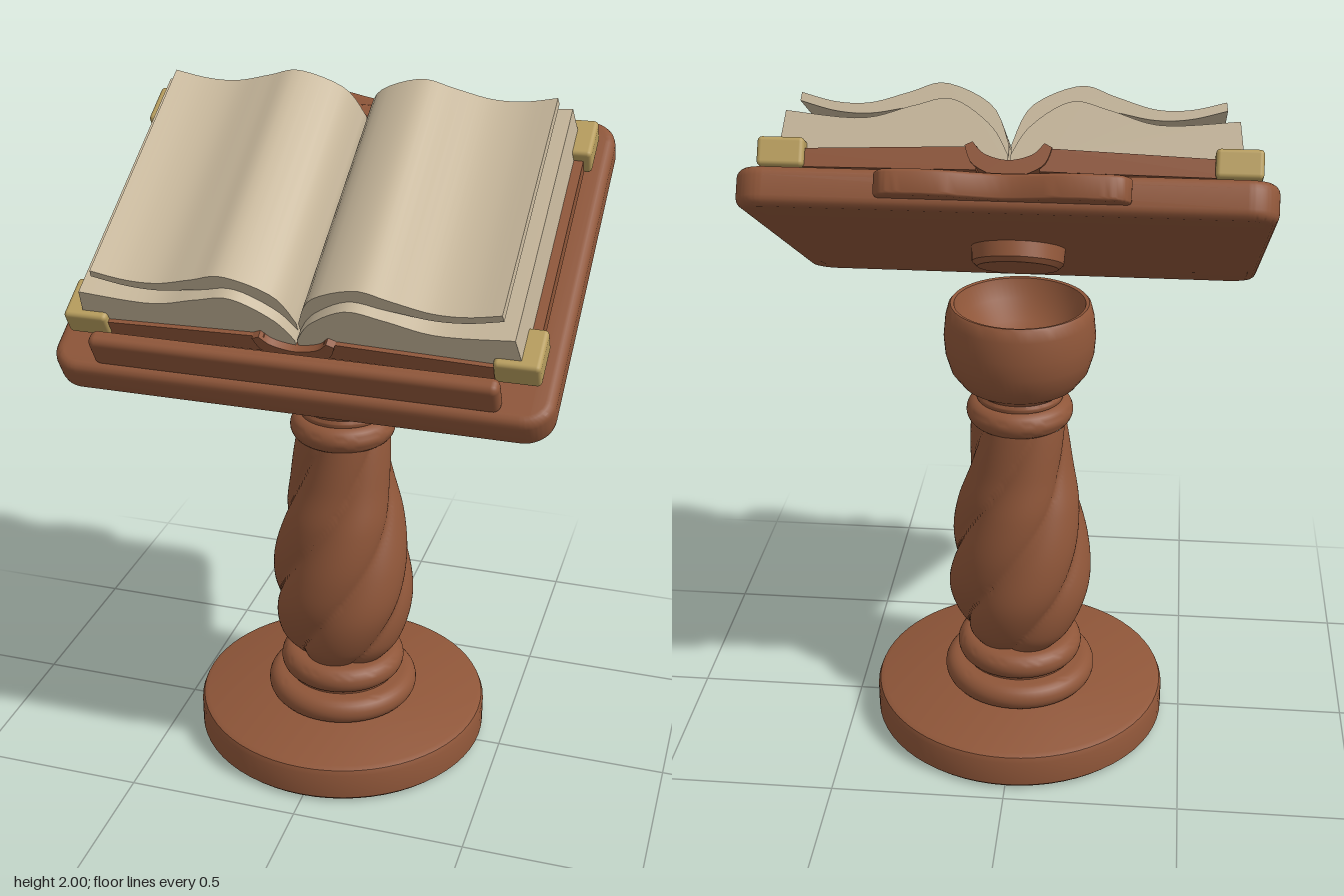
import * as THREE from 'three';
import { mergeVertices, toCreasedNormals } from 'three/addons/utils/BufferGeometryUtils.js';
import { RoundedBoxGeometry } from 'three/addons/geometries/RoundedBoxGeometry.js';

const wood = new THREE.MeshStandardMaterial({ name: 'wood', color: 0x8f5639 });
const paper = new THREE.MeshStandardMaterial({ name: 'paper', color: 0xc9b99d });
const brass = new THREE.MeshStandardMaterial({ name: 'brass', color: 0xb89e5e });

const V = (x, y) => new THREE.Vector2(x, y);

function add(parent, name, geometry, material, x = 0, y = 0, z = 0) {
  const mesh = new THREE.Mesh(geometry, material);
  mesh.name = name;
  mesh.position.set(x, y, z);
  parent.add(mesh);
  return mesh;
}

const lathe = (points, crease = 0.7) =>
  toCreasedNormals(new THREE.LatheGeometry(points.map(p => V(...p)), 64), crease);

// Turned ring with a half-round edge
function ring(radius, y0, y1) {
  const h = (y1 - y0) / 2, pts = [[0, y0]];
  for (let i = 0; i <= 12; i++) {
    const a = -Math.PI / 2 + Math.PI * i / 12;
    pts.push([radius - h + h * Math.cos(a), (y0 + y1) / 2 + h * Math.sin(a)]);
  }
  pts.push([0, y1]);
  return lathe(pts);
}

// Rope-twisted baluster: a lathe whose radius swells in spiral lobes
function twistedColumn() {
  const profile = new THREE.SplineCurve([
    [0.14, 0.265], [0.185, 0.33], [0.213, 0.45], [0.207, 0.58],
    [0.182, 0.73], [0.155, 0.85], [0.14, 0.99],
  ].map(p => V(...p))).getPoints(70);
  let g = new THREE.LatheGeometry(profile, 120);
  const p = g.attributes.position;
  for (let i = 0; i < p.count; i++) {
    const x = p.getX(i), y = p.getY(i), z = p.getZ(i);
    const lobe = Math.abs(Math.cos(2.5 * (Math.atan2(x, z) - 4.2 * y)));
    const k = 0.85 + 0.15 * Math.pow(lobe, 0.7);
    p.setXYZ(i, x * k, y, z * k);
  }
  g.deleteAttribute('uv');
  g.deleteAttribute('normal');
  g = mergeVertices(g, 1e-4);
  g.computeVertexNormals();
  return g;
}

// Cross-section in x and y, extruded between two z values
function section(points, z0, z1) {
  const g = new THREE.ExtrudeGeometry(new THREE.Shape(points), { depth: z1 - z0, bevelEnabled: false });
  return toCreasedNormals(g.translate(0, 0, z0), 0.6);
}

// Flat outline in x and -z, with rounded rims, lying between two heights
function slab(shape, y0, y1, bevel) {
  const g = new THREE.ExtrudeGeometry(shape, {
    depth: y1 - y0 - 2 * bevel, bevelThickness: bevel, bevelSize: bevel,
    bevelOffset: -bevel, bevelSegments: 4, curveSegments: 10,
  });
  return toCreasedNormals(g.rotateX(-Math.PI / 2).translate(0, y0 + bevel, 0), 0.7);
}

function roundedRect(x0, y0, x1, y1, r) {
  const s = new THREE.Shape();
  s.absarc(x1 - r, y0 + r, r, -Math.PI / 2, 0);
  s.absarc(x1 - r, y1 - r, r, 0, Math.PI / 2);
  s.absarc(x0 + r, y1 - r, r, Math.PI / 2, Math.PI);
  s.absarc(x0 + r, y0 + r, r, Math.PI, Math.PI * 1.5);
  return s;
}

const smooth = (pts, s, n = 28) => new THREE.SplineCurve(pts.map(([x, y]) => V(s * x, y))).getPoints(n);

function pedestal() {
  const g = new THREE.Group();
  g.name = 'pedestal';
  add(g, 'base', lathe([[0, 0], [0.425, 0], [0.438, 0.013], [0.438, 0.09], [0.432, 0.105], [0.418, 0.112], [0, 0.112]]), wood);
  add(g, 'lowerRing', ring(0.228, 0.108, 0.188), wood);
  add(g, 'lowerNeck', new THREE.CylinderGeometry(0.165, 0.165, 0.03, 48), wood, 0, 0.19);
  add(g, 'middleRing', ring(0.188, 0.19, 0.272), wood);
  add(g, 'twistedColumn', twistedColumn(), wood);
  add(g, 'upperRing', ring(0.153, 0.98, 1.06), wood);
  add(g, 'collar', ring(0.125, 1.05, 1.085), wood);
  add(g, 'cup', lathe([
    [0.1, 1.06], [0.125, 1.085], [0.165, 1.11], [0.195, 1.15], [0.21, 1.2], [0.214, 1.25],
    [0.208, 1.31], [0.2, 1.34], [0.194, 1.347], [0.184, 1.345], [0.165, 1.29], [0.12, 1.24], [0.06, 1.215], [0, 1.21],
  ], 0.9), wood);
  g.position.set(-0.005, 0, -0.015);
  return g;
}

function book() {
  const g = new THREE.Group();
  g.name = 'book';
  // Cover boards joined by a rounded spine
  add(g, 'spine', section([
    ...smooth([[-0.11, 0.185], [-0.085, 0.135], [0, 0.105], [0.085, 0.135], [0.11, 0.185]], 1, 20),
    ...smooth([[0.09, 0.195], [0.06, 0.165], [0, 0.15], [-0.06, 0.165], [-0.09, 0.195]], 1, 20),
  ], -0.435, 0.41), wood);
  for (const s of [1, -1]) {
    const side = s > 0 ? 'left' : 'right';
    add(g, side + 'Cover', section([[0.08, 0.125], [0.615, 0.12], [0.615, 0.165], [0.08, 0.185]].map(([x, y]) => V(s * x, y)), -0.425, 0.4), wood);
    // Page block
    add(g, side + 'Pages', section([
      ...smooth([[0.003, 0.17], [0.05, 0.245], [0.15, 0.31], [0.25, 0.29], [0.38, 0.255], [0.575, 0.27]], s),
      V(s * 0.59, 0.16), V(s * 0.1, 0.165), V(s * 0.003, 0.145),
    ], -0.402, 0.388), paper);
    // Raised top leaves
    add(g, side + 'TopLeaves', section([
      ...smooth([[0.003, 0.2], [0.05, 0.3], [0.17, 0.355], [0.26, 0.33], [0.36, 0.3], [0.45, 0.3], [0.54, 0.322]], s),
      ...smooth([[0.543, 0.3], [0.45, 0.276], [0.36, 0.272], [0.26, 0.29], [0.17, 0.3], [0.05, 0.24], [0.003, 0.165]], s),
    ], -0.385, 0.356), paper);
    // Brass corners
    for (const [end, z] of [['Front', 0.345], ['Back', -0.38]])
      add(g, side + end + 'Corner', new RoundedBoxGeometry(0.12, 0.075, 0.13, 3, 0.012), brass, s * 0.576, 0.156, z);
  }
  return g;
}

function desk() {
  const g = new THREE.Group();
  g.name = 'tiltedDesk';
  add(g, 'board', slab(roundedRect(-0.675, -0.512, 0.675, 0.54, 0.08), 0, 0.1, 0.025), wood);
  add(g, 'ledge', new RoundedBoxGeometry(1.09, 0.1, 0.05, 4, 0.02), wood, 0, 0.14, 0.463);
  // Wavy crest on the top edge
  const crest = new THREE.Shape([
    V(-0.315, 0.5), V(0.315, 0.5),
    ...smooth([[0.315, 0.555], [0.295, 0.583], [0.25, 0.594], [0.15, 0.594], [0, 0.565],
      [-0.15, 0.594], [-0.25, 0.594], [-0.295, 0.583], [-0.315, 0.555]], 1, 48),
  ]);
  add(g, 'crest', slab(crest, 0.025, 0.09, 0.01), wood);
  // Mounting disc under the board
  add(g, 'mountingDisc', lathe([[0, -0.055], [0.112, -0.055], [0.127, -0.042], [0.13, 0.01], [0, 0.01]]), wood);
  g.add(book());
  g.position.y = 1.5;
  g.rotation.x = Math.PI / 6;
  return g;
}

export function createModel() {
  const model = new THREE.Group();
  model.name = 'bookStand';
  model.add(pedestal(), desk());
  return model;
}
